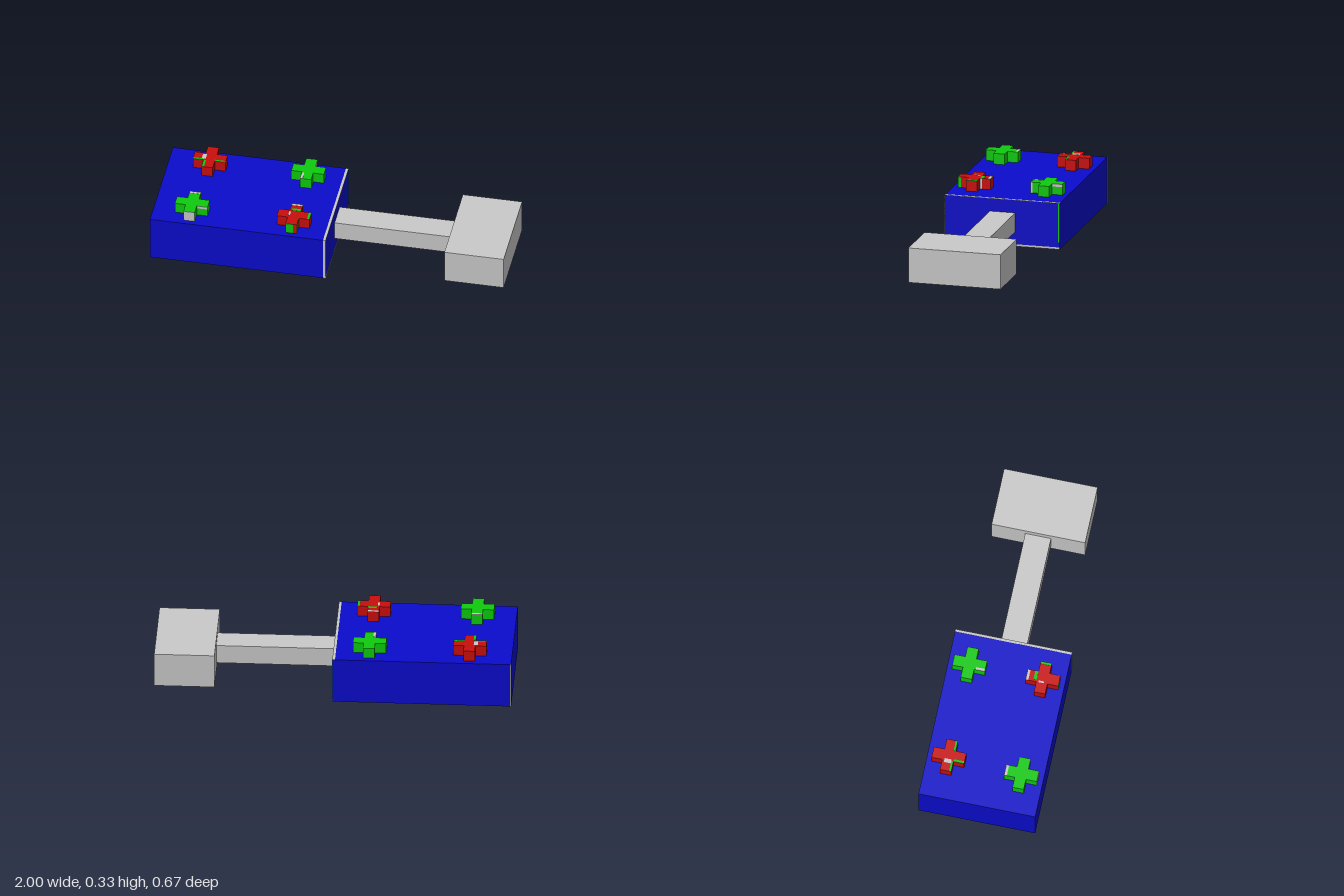
import * as THREE from 'three';

const mat = (name, color) => {
  const m = new THREE.MeshStandardMaterial({ color });
  m.name = name;
  return m;
};

export function createModel() {
  const blue = mat('blue', 0x0b0bcc);
  const grey = mat('grey', 0xc9c9c9);
  const red = mat('red', 0xca0e0e);
  const green = mat('green', 0x0eca0e);
  const model = new THREE.Group();
  model.name = 'mallet';

  // Box spanning the given ranges
  const box = (parent, name, material, [x0, x1], [y0, y1], [z0, z1]) => {
    const mesh = new THREE.Mesh(new THREE.BoxGeometry(x1 - x0, y1 - y0, z1 - z0), material);
    mesh.position.set((x0 + x1) / 2, (y0 + y1) / 2, (z0 + z1) / 2);
    mesh.name = name;
    parent.add(mesh);
  };

  // Main block, connecting bar and end block
  const H = 0.267, D = 0.333, T = 0.001;
  box(model, 'mainBlock', blue, [-1, 0], [0, H], [-D, D]);
  box(model, 'bar', grey, [0, 0.667], [0.083, 0.193], [-0.075, 0.072]);
  box(model, 'endBlock', grey, [0.663, 1], [0.034, 0.234], [-0.267, 0.267]);

  // Thin painted edge strips on the main block
  box(model, 'frontEdgeStrip', grey, [-0.015, 0], [0, H], [D - T, D + T]);
  box(model, 'topEdgeStrip', grey, [-0.015, 0], [H - T, H + T], [-D, D]);
  box(model, 'lowerEdgeStrip', grey, [-T, T], [0, 0.012], [-D, D]);
  box(model, 'rearCornerStrip', green, [-T, T], [0.04, H], [-D, -0.322]);
  box(model, 'backEdgeStrip', grey, [-1, -0.993], [0, H], [-D - T, -D + T]);

  // Plus-shaped studs
  const R = 0.093, A = 0.032, S = 0.062;
  const outline = [
    [A, A], [A, R], [-A, R], [-A, A], [-R, A], [-R, -A],
    [-A, -A], [-A, -R], [A, -R], [A, -A], [R, -A], [R, A],
  ].map(([x, y]) => new THREE.Vector2(x, y));
  const plus = new THREE.ExtrudeGeometry(new THREE.Shape(outline), { depth: S, bevelEnabled: false });
  plus.rotateX(-Math.PI / 2);

  const stud = (name, material, x, z, patches) => {
    const group = new THREE.Group();
    group.name = name;
    group.position.set(x, H, z);
    const body = new THREE.Mesh(plus, material);
    body.name = 'plusBody';
    group.add(body);
    patches.forEach(([m, xs, ys, zs]) => box(group, 'paintPatch', m, xs, ys, zs));
    model.add(group);
  };

  const side = [0, S], cap = [S - T, S + T];
  stud('frontRightGreenStud', green, -0.783, 0.209, [
    [grey, [-A, A], cap, [-R, -0.077]],
    [grey, [-A, A], side, [R - T, R + T]],
    [grey, [A, R], [0.046, S], [A - T, A + T]],
  ]);
  stud('frontLeftRedStud', red, -0.203, 0.209, [
    [grey, [-A, A], cap, [-R, -0.077]],
    [green, [0.078, R], cap, [-A, A]],
    [green, [-0.02, A], cap, [-0.05, -A]],
    [grey, [-A, -0.022], cap, [-0.02, 0.012]],
    [green, [-0.03, 0.012], side, [R - T, R + T]],
    [green, [A - T, A + T], side, [0.077, R]],
    [green, [A - T, A + T], side, [A, 0.043]],
    [grey, [A - T, A + T], side, [-0.046, -A]],
  ]);
  stud('backLeftGreenStud', green, -0.203, -0.209, [
    [grey, [-A, -0.017], cap, [0.04, R]],
    [grey, [A - T, A + T], side, [0.082, R]],
    [grey, [A - T, A + T], [0.046, S], [-R, -A]],
  ]);
  stud('backRightRedStud', red, -0.763, -0.209, [
    [green, [A, R], cap, [0.02, A]],
    [green, [-R, -A], cap, [0.02, A]],
    [green, [-A, -0.018], cap, [A, R]],
    [grey, [-0.045, -0.022], cap, [-0.02, 0.02]],
  ]);

  return model;
}
